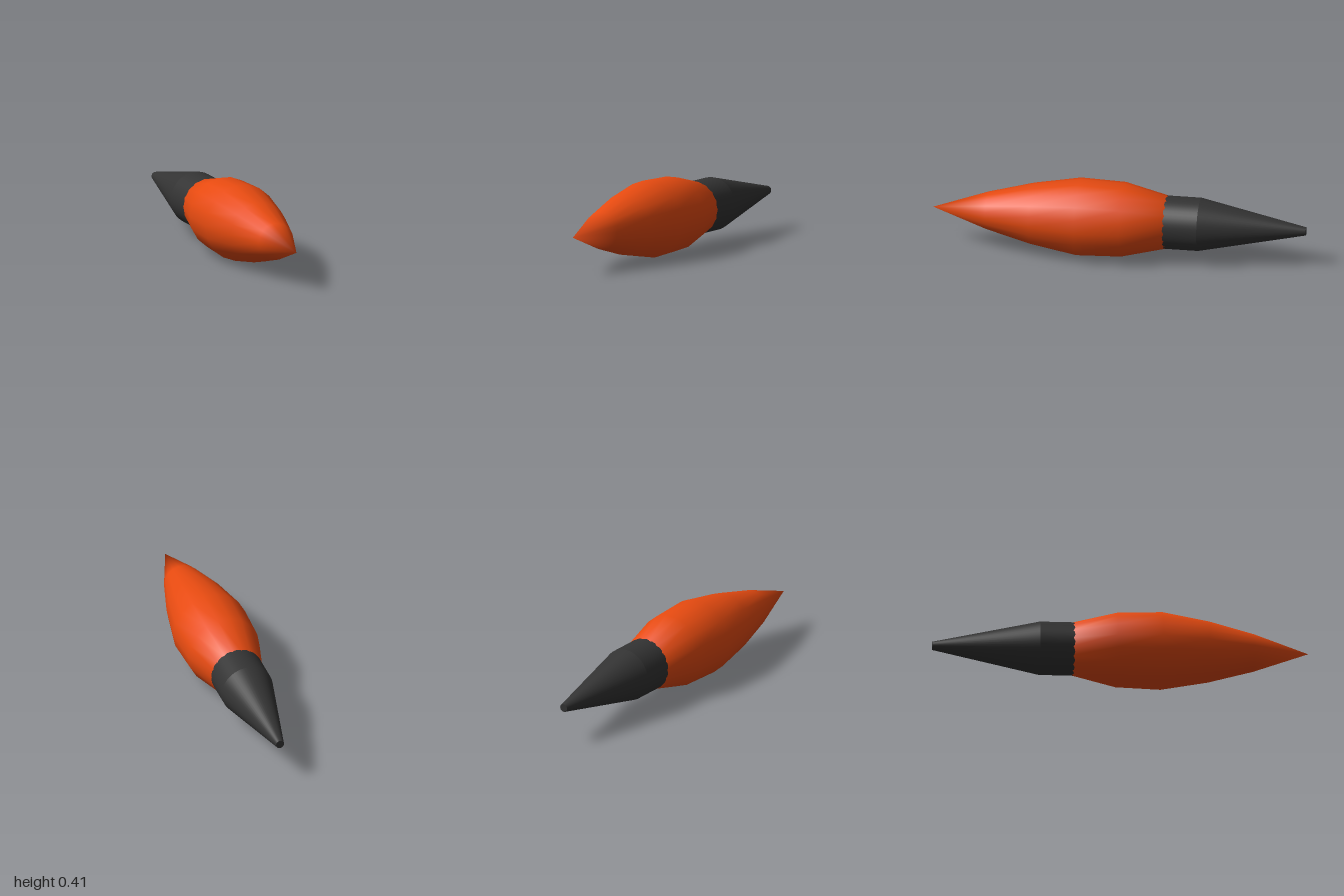
import * as THREE from 'three';
import { mergeVertices } from 'three/addons/utils/BufferGeometryUtils.js';

const AXIS_Y = 0.204;

export function createModel() {
  const orange = new THREE.MeshStandardMaterial({ color: 0xe64a10 });
  orange.name = 'orange';
  const charcoal = new THREE.MeshStandardMaterial({ color: 0x333333 });
  charcoal.name = 'charcoal';

  const model = new THREE.Group();
  model.name = 'dart';

  const add = (name, geometry, material) => {
    const mesh = new THREE.Mesh(geometry, material);
    mesh.name = name;
    mesh.position.y = AXIS_Y;
    model.add(mesh);
  };

  // Bulging body: 18 sides, [radius, z] from the rear to the pointed nose
  const profile = [[0, -0.27], [0.138, -0.27], [0.199, -0.02], [0.207, 0.22],
    [0.163, 0.47], [0.1, 0.71], [0, 1]].map(([r, z]) => new THREE.Vector2(r, z));
  let body = new THREE.LatheGeometry(profile, 18, Math.PI / 2);
  body.rotateX(Math.PI / 2);
  // Share vertices so the surface is smooth right up to the tip
  body.deleteAttribute('uv');
  body.deleteAttribute('normal');
  body = mergeVertices(body, 1e-4);
  body.computeVertexNormals();
  add('body', body, orange);

  // Round section along z, from the front radius to the back radius
  const section = (front, back, zFront, zBack) =>
    new THREE.CylinderGeometry(front, back, zFront - zBack, 48)
      .rotateX(Math.PI / 2)
      .translate(0, 0, (zFront + zBack) / 2);

  add('collar', section(0.142, 0.142, -0.2, -0.43), charcoal);
  add('tailCone', section(0.142, 0.022, -0.43, -1), charcoal);

  return model;
}
